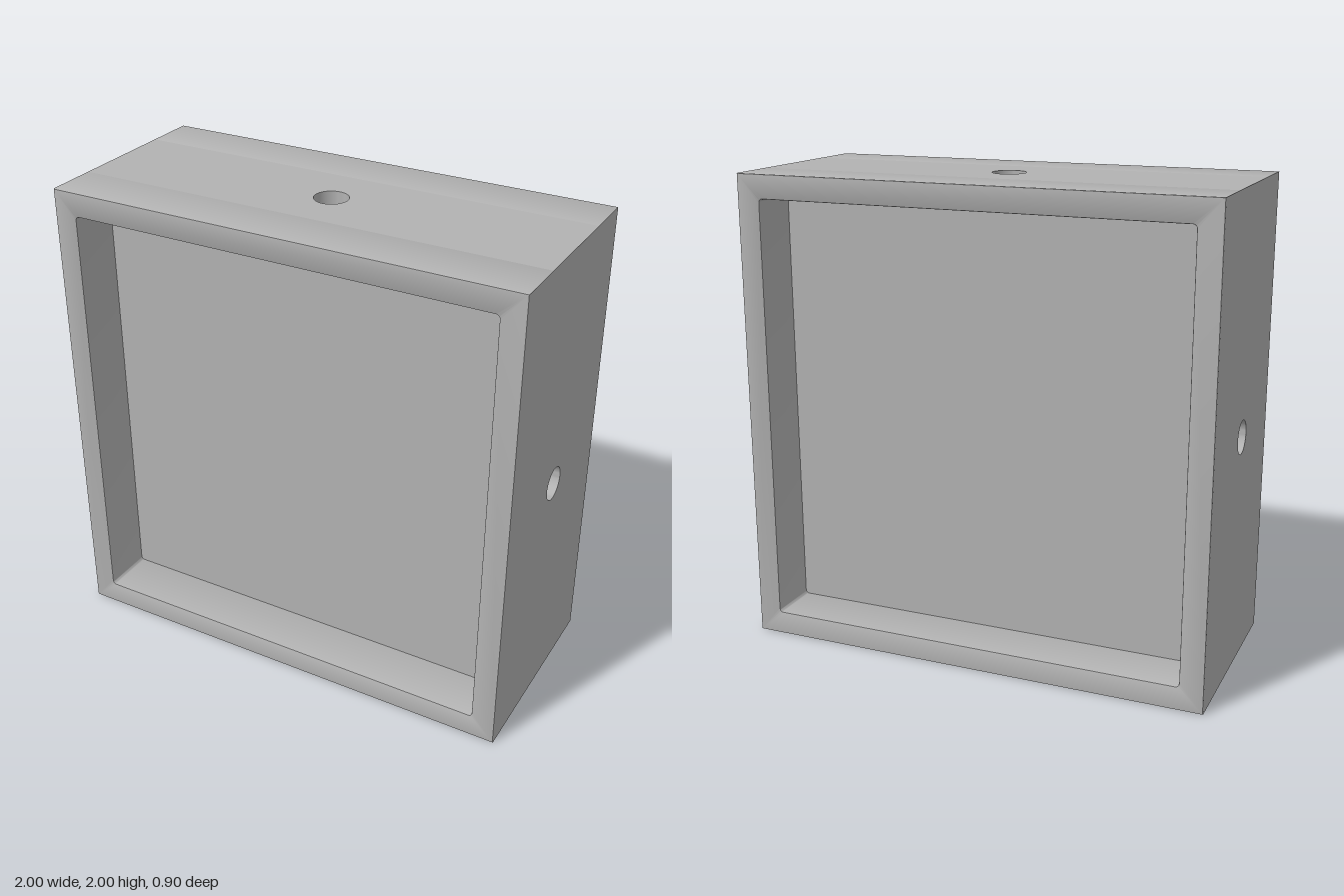
import * as THREE from 'three';
import { toCreasedNormals } from 'three/addons/utils/BufferGeometryUtils.js';

const HALF = 1;           // half of width and height
const DEPTH = 0.45;       // half of depth
const FLOOR = 0.23;       // z of the pocket floors
const POCKET = 0.9;       // half of pocket opening
const HOLE_R = 0.07;
const HOLE_DEPTH = 0.2;
const BEVEL = 0.006;

function rectangle(path, w, h) {
  path.moveTo(-w, -h);
  path.lineTo(w, -h);
  path.lineTo(w, h);
  path.lineTo(-w, h);
  path.closePath();
  return path;
}

// Square opening with slightly rounded corners
function roundedSquare(s, r) {
  const p = new THREE.Path();
  const c = s - r;
  p.moveTo(-c, -s);
  p.absarc(c, -c, r, -Math.PI / 2, 0, false);
  p.absarc(c, c, r, 0, Math.PI / 2, false);
  p.absarc(-c, c, r, Math.PI / 2, Math.PI, false);
  p.absarc(-c, -c, r, Math.PI, Math.PI * 1.5, false);
  return p;
}

export function createModel() {
  const model = new THREE.Group();
  model.name = 'recessedBlock';
  const grey = new THREE.MeshStandardMaterial({ color: 0xb2b2b2 });
  grey.name = 'grey';

  const add = (parent, name, geometry) => {
    const mesh = new THREE.Mesh(geometry, grey);
    mesh.name = name;
    parent.add(mesh);
    return mesh;
  };

  // Bevelled rim; its inner end is sunk into the core
  const ring = rectangle(new THREE.Shape(), HALF, HALF);
  ring.holes.push(roundedSquare(POCKET, 0.015));
  const rim = toCreasedNormals(new THREE.ExtrudeGeometry(ring, {
    depth: DEPTH - FLOOR - BEVEL, bevelEnabled: true, bevelThickness: BEVEL,
    bevelSize: BEVEL, bevelOffset: -BEVEL, bevelSegments: 2, curveSegments: 5,
  }), 0.5);
  rim.translate(0, 0, FLOOR);

  // Front and back are the same: a rim around a flat pocket floor
  ['front', 'back'].forEach((side, i) => {
    const face = new THREE.Group();
    face.name = side + 'Face';
    face.rotation.y = i * Math.PI;
    add(face, side + 'Rim', rim);
    add(face, side + 'PocketFloor', new THREE.PlaneGeometry(1.84, 1.84)).position.z = FLOOR;
    model.add(face);
  });

  // Outer walls of the core, each with a blind hole in the middle
  const wallShape = rectangle(new THREE.Shape(), HALF, FLOOR);
  wallShape.holes.push(new THREE.Path().absarc(0, 0, HOLE_R, 0, Math.PI * 2, true));
  const wall = new THREE.ShapeGeometry(wallShape, 24);
  wall.rotateX(-Math.PI / 2);
  const hole = toCreasedNormals(new THREE.LatheGeometry([
    new THREE.Vector2(HOLE_R, 0),
    new THREE.Vector2(HOLE_R, -HOLE_DEPTH),
    new THREE.Vector2(0, -HOLE_DEPTH),
  ], 48), 0.5);

  ['top', 'left', 'bottom', 'right'].forEach((side, i) => {
    const group = new THREE.Group();
    group.name = side + 'Side';
    group.rotation.z = -i * Math.PI / 2;
    add(group, side + 'Wall', wall).position.y = HALF;
    add(group, side + 'Hole', hole).position.y = HALF;
    model.add(group);
  });

  // Stand the block on the ground
  model.children.forEach((part) => { part.position.y = HALF; });
  return model;
}
